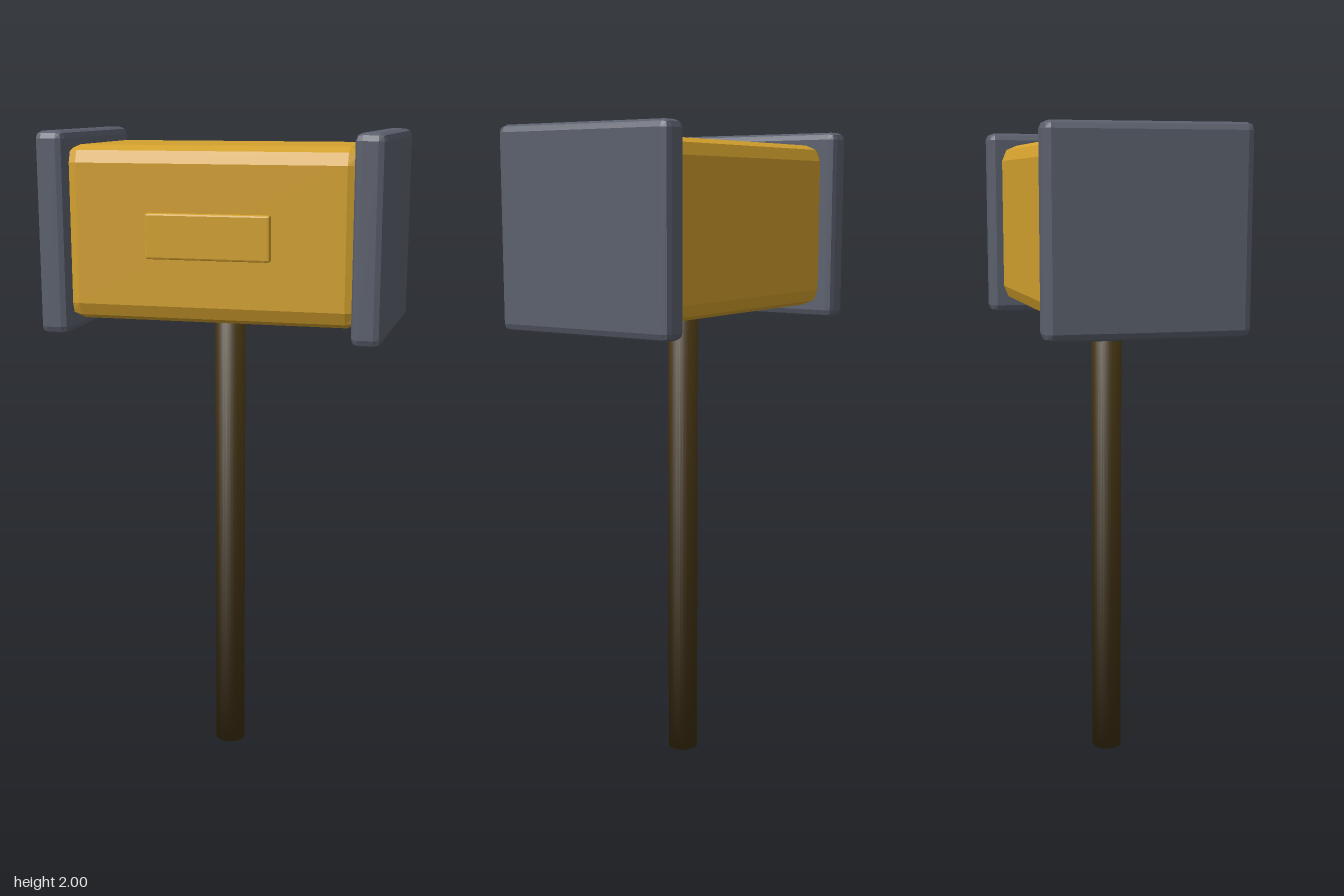
import * as THREE from 'three';
import { RoundedBoxGeometry } from 'three/addons/geometries/RoundedBoxGeometry.js';

export function createModel() {
  const model = new THREE.Group();
  model.name = 'mallet';

  const material = (name, color, flatShading = true) => {
    const m = new THREE.MeshStandardMaterial({ color, flatShading });
    m.name = name;
    return m;
  };
  const gold = material('gold', 0xd3a12e);
  const slate = material('slate', 0x5b606d);
  const darkWood = material('dark wood', 0x40300f, false);

  const add = (name, geometry, mat, x, y, z) => {
    const mesh = new THREE.Mesh(geometry, mat);
    mesh.name = name;
    mesh.position.set(x, y, z);
    model.add(mesh);
  };
  // Box whose edges are bevelled with two flat facets
  const bevelBox = (w, h, d, bevel) => new RoundedBoxGeometry(w, h, d, 1, bevel);

  const headY = 1.705;

  // Head block, its ends tucked into the striking plates
  add('headBlock', bevelBox(0.9, 0.51, 0.514, 0.05), gold, 0, headY, 0);

  // Raised panel on the front of the head
  add('frontPanel', bevelBox(0.37, 0.132, 0.05, 0.006), gold, 0, headY, 0.251);

  // Striking plates
  for (const side of [-1, 1]) {
    add(side > 0 ? 'leftStrikingPlate' : 'rightStrikingPlate',
      bevelBox(0.088, 0.59, 0.594, 0.022), slate, side * 0.467, headY, 0);
  }

  // Handle, shaded softly over its ends
  const radius = 0.047, length = 1.5;
  const handle = new THREE.CylinderGeometry(radius, radius, length, 32);
  const { position, normal } = handle.attributes;
  const n = new THREE.Vector3();
  for (let i = 0; i < position.count; i++) {
    n.set(position.getX(i) / radius, Math.sign(position.getY(i)), position.getZ(i) / radius).normalize();
    normal.setXYZ(i, n.x, n.y, n.z);
  }
  add('handle', handle, darkWood, 0, length / 2, 0);

  return model;
}
